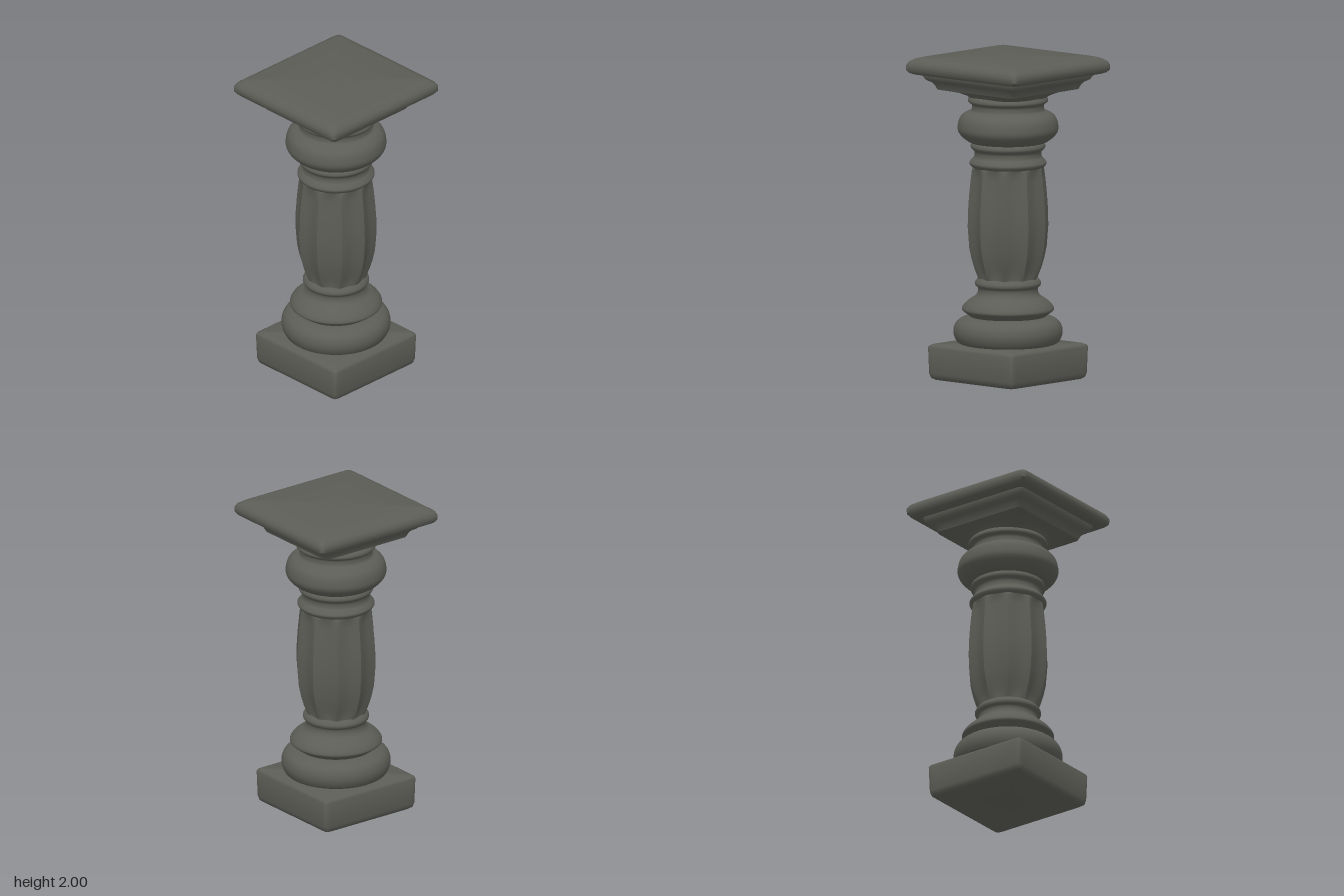
import * as THREE from 'three';
import { toCreasedNormals } from 'three/addons/utils/BufferGeometryUtils.js';

// Capped loft: rows of [y, radius, shape]; section(angle, row) gives the distance from the axis.
function loft(rows, section, warp = 0, count = 120) {
  const pos = [], index = [];
  for (const row of rows) {
    for (let i = 0; i < count; i++) {
      const t = (i / count) * Math.PI * 2;
      const a = t + warp * Math.sin(4 * t); // gathers points at square corners
      const r = section(a, row);
      pos.push(r * Math.sin(a), row[0], r * Math.cos(a));
    }
  }
  const last = (rows.length - 1) * count;
  for (let k = 0; k < last; k += count) {
    for (let i = 0; i < count; i++) {
      const j = (i + 1) % count;
      index.push(k + i, k + j, k + count + j, k + i, k + count + j, k + count + i);
    }
  }
  const bottom = pos.length / 3;
  pos.push(0, rows[0][0], 0, 0, rows[rows.length - 1][0], 0);
  for (let i = 0; i < count; i++) {
    const j = (i + 1) % count;
    index.push(j, i, bottom, last + i, last + j, bottom + 1);
  }
  const g = new THREE.BufferGeometry();
  g.setAttribute('position', new THREE.Float32BufferAttribute(pos, 3));
  g.setIndex(index);
  return toCreasedNormals(g, 0.75);
}

// Rounded square (high n) through circle (n = 2)
const square = (a, [, r, n]) =>
  r / Math.pow(Math.abs(Math.sin(a)) ** n + Math.abs(Math.cos(a)) ** n, 1 / n);

// Ten concave flutes with sharp ridges
const fluted = (a, [, r, depth]) => r - depth * Math.abs(Math.sin(5 * a));

// Smoothly turned moulding
function turned(points) {
  const curve = new THREE.SplineCurve(points.map(([r, y]) => new THREE.Vector2(r, y)));
  return new THREE.LatheGeometry(curve.getPoints(points.length * 4), 64);
}

export function createModel() {
  const group = new THREE.Group();
  const stone = new THREE.MeshStandardMaterial({ color: 0x5c5d56 });
  stone.name = 'dark stone';
  const add = (name, geometry) => {
    const mesh = new THREE.Mesh(geometry, stone);
    mesh.name = name;
    group.add(mesh);
    return mesh;
  };

  // Square plinth
  add('plinth', loft([
    [0, 0.325, 30], [0.012, 0.342, 34], [0.04, 0.35, 34],
    [0.2, 0.355, 34], [0.212, 0.35, 34], [0.22, 0.335, 30],
  ], square, 0.2));

  // Base mouldings
  add('baseTorus', turned([
    [0.2, 0.215], [0.295, 0.225], [0.325, 0.255], [0.336, 0.3],
    [0.325, 0.345], [0.295, 0.375], [0.25, 0.39], [0.2, 0.392],
  ]));
  add('baseCollar', turned([
    [0.22, 0.385], [0.235, 0.395], [0.262, 0.415], [0.284, 0.436], [0.268, 0.468],
    [0.235, 0.497], [0.2, 0.52], [0.185, 0.545], [0.185, 0.57],
    [0.2, 0.585], [0.203, 0.603], [0.188, 0.625], [0.17, 0.635],
  ]));

  // Swelling fluted shaft
  add('flutedShaft', loft([
    [0.61, 0.18, 0], [0.64, 0.19, 0.012], [0.69, 0.21, 0.022], [0.75, 0.228, 0.024],
    [0.82, 0.243, 0.024], [0.95, 0.253, 0.022], [1.05, 0.251, 0.022], [1.15, 0.244, 0.022],
    [1.25, 0.234, 0.022], [1.3, 0.227, 0.016], [1.325, 0.22, 0], [1.34, 0.21, 0],
  ], fluted));

  // Neck rings
  add('neckRing', turned([
    [0.2, 1.315], [0.222, 1.32], [0.238, 1.343], [0.225, 1.365], [0.208, 1.385],
    [0.207, 1.415], [0.226, 1.435], [0.23, 1.45], [0.22, 1.468], [0.19, 1.475],
  ]));

  // Bulging cushion beneath the capital
  add('cushion', turned([
    [0.18, 1.465], [0.23, 1.472], [0.275, 1.5], [0.304, 1.535], [0.31, 1.57],
    [0.298, 1.62], [0.268, 1.652], [0.23, 1.668], [0.222, 1.69],
    [0.225, 1.71], [0.245, 1.725], [0.245, 1.743], [0.23, 1.76], [0.2, 1.765],
  ]));

  // Capital turning from round to square, with steps
  const capital = add('capital', loft([
    [1.74, 0.225, 2], [1.765, 0.24, 2.6], [1.785, 0.262, 5], [1.795, 0.3, 14],
    [1.8, 0.32, 24], [1.83, 0.332, 30], [1.845, 0.345, 30], [1.86, 0.37, 34],
    [1.885, 0.385, 34], [1.905, 0.385, 34],
  ], square, 0.2));

  // Square top slab with bevelled rim
  const slab = add('topSlab', loft([
    [1.895, 0.425, 34], [1.903, 0.445, 34], [1.92, 0.459, 34], [1.95, 0.46, 34],
    [1.972, 0.448, 34], [1.992, 0.417, 34], [2, 0.39, 34],
  ], square, 0.2));
  capital.scale.z = slab.scale.z = 0.97;

  return group;
}
